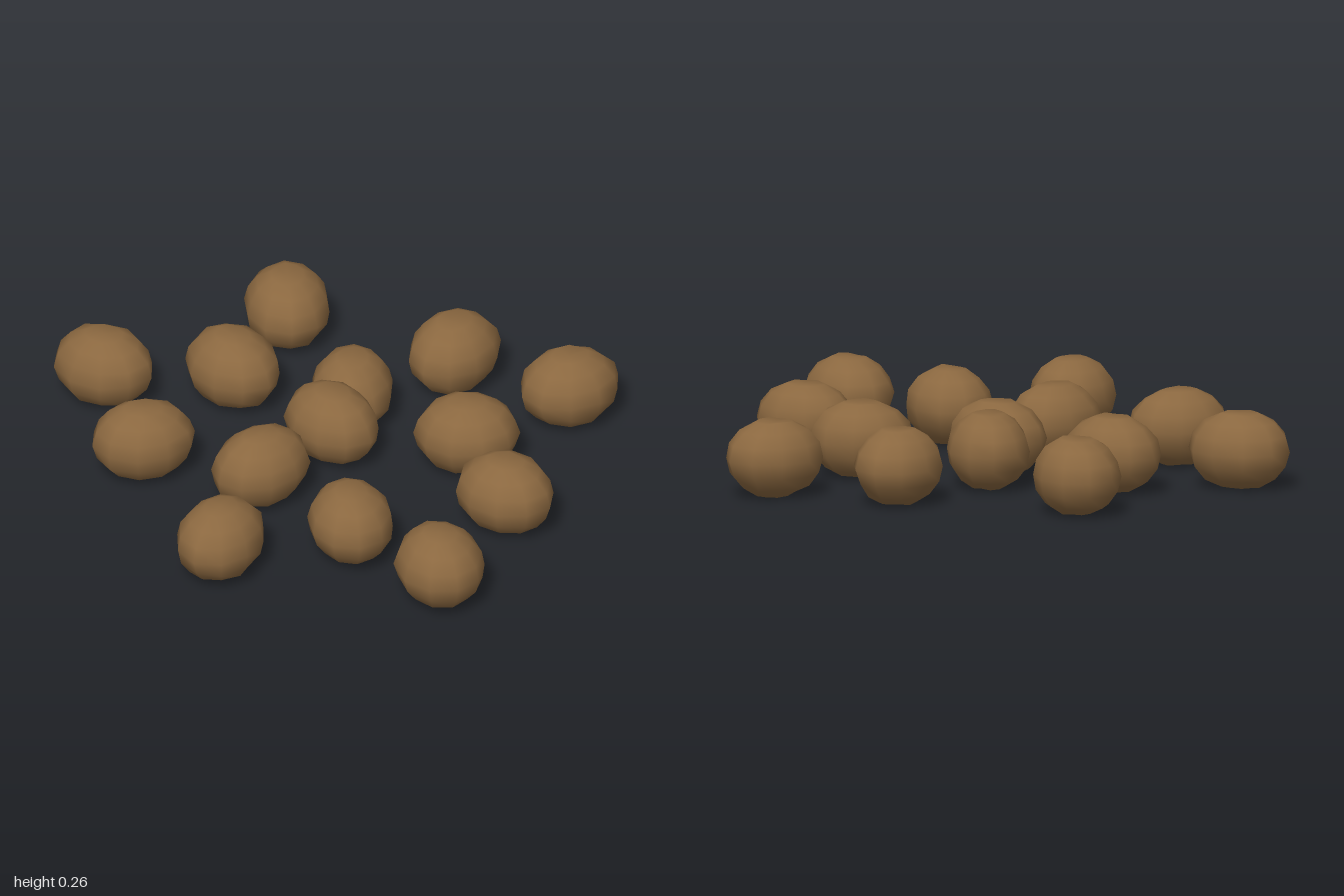
import * as THREE from 'three';
import { mergeVertices } from 'three/addons/utils/BufferGeometryUtils.js';

// Each tuber: centre x, centre z, heading in degrees, half length, half width
const TUBERS = [
  [0.19, -0.76, 78, 0.175, 0.145],
  [-0.21, -0.56, 108, 0.177, 0.145],
  [-0.765, -0.255, -30, 0.176, 0.148],
  [-0.225, -0.145, -38, 0.176, 0.142],
  [0.22, -0.31, 55, 0.177, 0.15],
  [0.59, -0.21, 22, 0.176, 0.147],
  [-0.095, 0.03, 12, 0.176, 0.14],
  [-0.57, 0.11, 8, 0.178, 0.147],
  [-0.83, 0.465, 28, 0.177, 0.147],
  [-0.385, 0.615, 70, 0.178, 0.145],
  [-0.02, 0.38, 92, 0.18, 0.14],
  [0.435, 0.325, -25, 0.172, 0.144],
  [0.82, 0.225, -15, 0.178, 0.15],
  [0.26, 0.745, 115, 0.177, 0.145],
];
const HALF_HEIGHT = 0.133;

function seeded(seed) {
  let s = seed;
  return () => (s = (s * 16807) % 2147483647) / 2147483647;
}

// Lumpy ellipsoid with a slightly sunken eye at each pole
function tuberGeometry(length, width, seed) {
  const random = seeded(seed * 7919 + 13);
  const sphere = new THREE.SphereGeometry(1, 10, 8);
  sphere.deleteAttribute('uv');
  sphere.deleteAttribute('normal');
  const geometry = mergeVertices(sphere, 1e-4);
  const p = geometry.attributes.position;
  for (let i = 0; i < p.count; i++) {
    const pole = Math.abs(p.getY(i)) > 0.99;
    const bump = pole ? 0.9 + 0.08 * random() : 0.985 + 0.05 * random();
    const shift = pole ? 0.05 * (random() - 0.5) : 0;
    p.setXYZ(i,
      (p.getX(i) * bump + shift) * length,
      p.getY(i) * (pole ? bump : bump + 0.02) * HALF_HEIGHT,
      (p.getZ(i) * bump - shift) * width);
  }
  geometry.computeVertexNormals();
  return geometry;
}

export function createModel() {
  const group = new THREE.Group();
  group.name = 'scatteredTubers';
  const skin = new THREE.MeshStandardMaterial({ color: 0x8b6840 });
  skin.name = 'earthyBrown';

  TUBERS.forEach(([x, z, heading, length, width], i) => {
    const tuber = new THREE.Mesh(tuberGeometry(length, width, i + 1), skin);
    tuber.name = `tuber${i + 1}`;
    tuber.position.set(x, 0.138, z);
    tuber.rotation.y = THREE.MathUtils.degToRad(heading);
    group.add(tuber);
  });
  return group;
}
